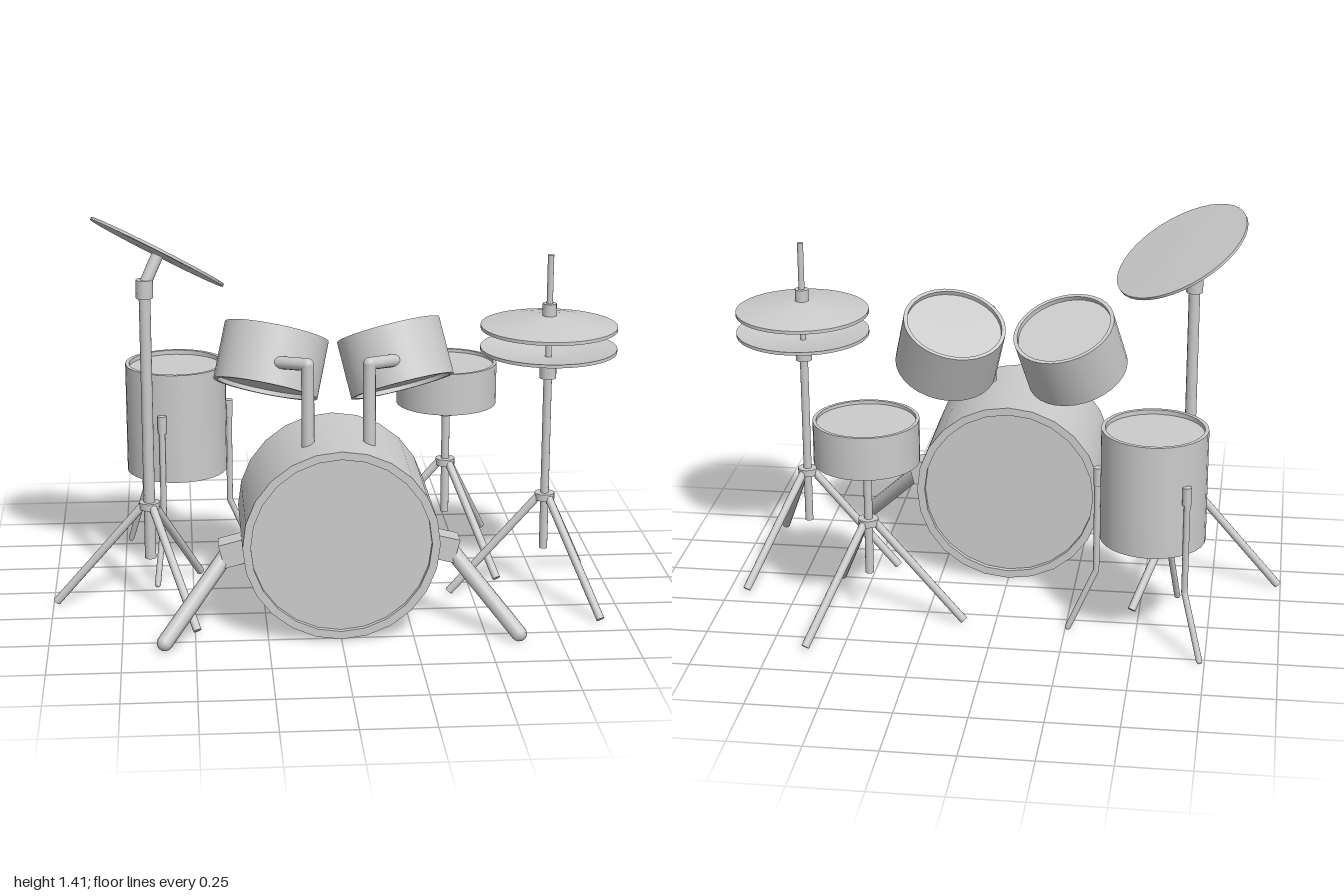
import * as THREE from 'three';
import { toCreasedNormals } from 'three/addons/utils/BufferGeometryUtils.js';

const mat = new THREE.MeshStandardMaterial({ color: 0xcccccc, side: THREE.DoubleSide });
const UP = new THREE.Vector3(0, 1, 0);
const V = (x, y, z) => new THREE.Vector3(x, y, z);

function add(parent, name, geo) {
  const mesh = new THREE.Mesh(geo, mat);
  mesh.name = name;
  parent.add(mesh);
  return mesh;
}

function group(parent, name, x = 0, y = 0, z = 0) {
  const g = new THREE.Group();
  g.name = name;
  g.position.set(x, y, z);
  parent.add(g);
  return g;
}

// Round bar between two points, optionally with rounded ends
function bar(parent, name, a, b, r, rounded = false, sides = 12) {
  const len = a.distanceTo(b);
  const geo = rounded
    ? new THREE.CapsuleGeometry(r, len, 4, sides)
    : new THREE.CylinderGeometry(r, r, len, sides);
  const mesh = add(parent, name, geo);
  mesh.position.copy(a).add(b).multiplyScalar(0.5);
  mesh.quaternion.setFromUnitVectors(UP, b.clone().sub(a).normalize());
  return mesh;
}

function lathe(points, segments) {
  const geo = new THREE.LatheGeometry(points.map(p => new THREE.Vector2(...p)), segments);
  return toCreasedNormals(geo, 0.5);
}

// Drum with hoops standing proud of the two heads, from base to top centre
function drum(parent, name, base, top, r, lip, recess, sides = 32) {
  const h = base.distanceTo(top), i = r - lip;
  const mesh = add(parent, name, lathe([
    [0, recess], [i, recess], [i, 0], [r, 0],
    [r, h], [i, h], [i, h - recess], [0, h - recess]], sides));
  mesh.position.copy(base);
  mesh.quaternion.setFromUnitVectors(UP, top.clone().sub(base).normalize());
  return mesh;
}

// Thin domed cymbal; its rim lies at y = 0
function cymbal(parent, name, r, rise, thick) {
  return add(parent, name, lathe([
    [0, rise], [r * 0.25, rise * 0.92], [r * 0.6, rise * 0.6], [r, thick * 0.5],
    [r, -thick * 0.5], [r * 0.6, rise * 0.6 - thick], [r * 0.25, rise * 0.92 - thick],
    [0, rise - thick]], 40));
}

// Tripod base shared by all the stands
function tripod(parent, postTop, postRadius) {
  bar(parent, 'post', V(0, 0.175, 0), V(0, postTop, 0), postRadius);
  bar(parent, 'legCollar', V(0, 0.36, 0), V(0, 0.385, 0), 0.036);
  for (let i = 0; i < 3; i++) {
    const a = 1.08 + i * Math.PI * 2 / 3, c = Math.cos(a), s = Math.sin(a);
    bar(parent, 'standLeg', V(c * 0.02, 0.375, s * 0.02), V(c * 0.338, 0.012, s * 0.338), 0.0145);
  }
}

export function createModel() {
  const kit = new THREE.Group();
  kit.name = 'drumKit';

  // Bass drum lying along z
  const bass = group(kit, 'bassDrum');
  drum(bass, 'bassShell', V(0, 0.343, 0.06), V(0, 0.343, 0.52), 0.337, 0.028, 0.018, 24);

  for (const s of [-1, 1]) {
    // Spurs
    const bracket = add(bass, 'spurBracket', new THREE.BoxGeometry(0.085, 0.085, 0.08));
    bracket.position.set(s * 0.365, 0.29, 0.385);
    bracket.rotation.z = -s * 0.25;
    bar(bass, 'spur', V(s * 0.375, 0.29, 0.375), V(s * 0.605, 0.03, 0.57), 0.028, true, 8);

    // Rack toms tilted inward and back, with their mounts
    const tom = group(kit, s > 0 ? 'leftTom' : 'rightTom');
    drum(tom, 'tomShell', V(s * 0.24, 0.8, 0.155), V(s * 0.195, 0.985, 0.08), 0.185, 0.014, 0.016);
    bar(tom, 'tomPost', V(s * 0.105, 0.65, 0.365), V(s * 0.105, 0.942, 0.365), 0.022, true);
    bar(tom, 'tomArm', V(s * 0.105, 0.942, 0.365), V(s * 0.2, 0.93, 0.285), 0.022, true);
  }

  // Floor tom on three bent legs
  const floorTom = group(kit, 'floorTom', -0.55, 0, -0.305);
  drum(floorTom, 'floorTomShell', V(0, 0.37, 0), V(0, 0.775, 0), 0.184, 0.014, 0.016);
  for (const deg of [-4, 106, 231]) {
    const a = deg * Math.PI / 180;
    const at = (r, y) => V(Math.cos(a) * r, y, Math.sin(a) * r);
    bar(floorTom, 'legBracket', at(0.192, 0.56), at(0.192, 0.625), 0.016);
    bar(floorTom, 'floorTomLeg', at(0.194, 0.235), at(0.194, 0.6), 0.011, true);
    bar(floorTom, 'floorTomFoot', at(0.194, 0.235), at(0.29, 0.014), 0.011, true);
  }

  // Snare drum on its stand
  const snare = group(kit, 'snare', 0.45, 0, -0.305);
  drum(snare, 'snareShell', V(0, 0.605, 0), V(0, 0.76, 0), 0.185, 0.012, 0.012);
  bar(snare, 'snareMount', V(0, 0.555, 0), V(0, 0.61, 0), 0.031);
  tripod(snare, 0.58, 0.015);

  // Pair of facing cymbals on a rod
  const hat = group(kit, 'hiHat', 0.757, 0, 0.12);
  tripod(hat, 0.84, 0.015);
  bar(hat, 'lowerCollar', V(0, 0.81, 0), V(0, 0.885, 0), 0.03);
  bar(hat, 'rod', V(0, 0.8, 0), V(0, 1.253, 0), 0.011);
  bar(hat, 'upperCollar', V(0, 1.03, 0), V(0, 1.08, 0), 0.025);
  cymbal(hat, 'upperCymbal', 0.24, 0.042, 0.012).position.y = 0.996;
  const lower = cymbal(hat, 'lowerCymbal', 0.24, 0.042, 0.012);
  lower.position.y = 0.917;
  lower.rotation.x = Math.PI;

  // Tilted crash cymbal on a tall stand
  const crash = group(kit, 'crash', -0.652, 0, 0.125);
  tripod(crash, 1.14, 0.02);
  bar(crash, 'crashCollar', V(0, 1.125, 0), V(0, 1.19, 0), 0.03);
  bar(crash, 'crashArm', V(0, 1.17, 0.005), V(0.047, 1.27, -0.022), 0.021);
  const plate = cymbal(crash, 'crashCymbal', 0.254, 0.012, 0.01);
  plate.position.set(0.047, 1.28, -0.024);
  plate.quaternion.setFromUnitVectors(UP, V(0.465, 0.852, -0.233).normalize());

  return kit;
}
